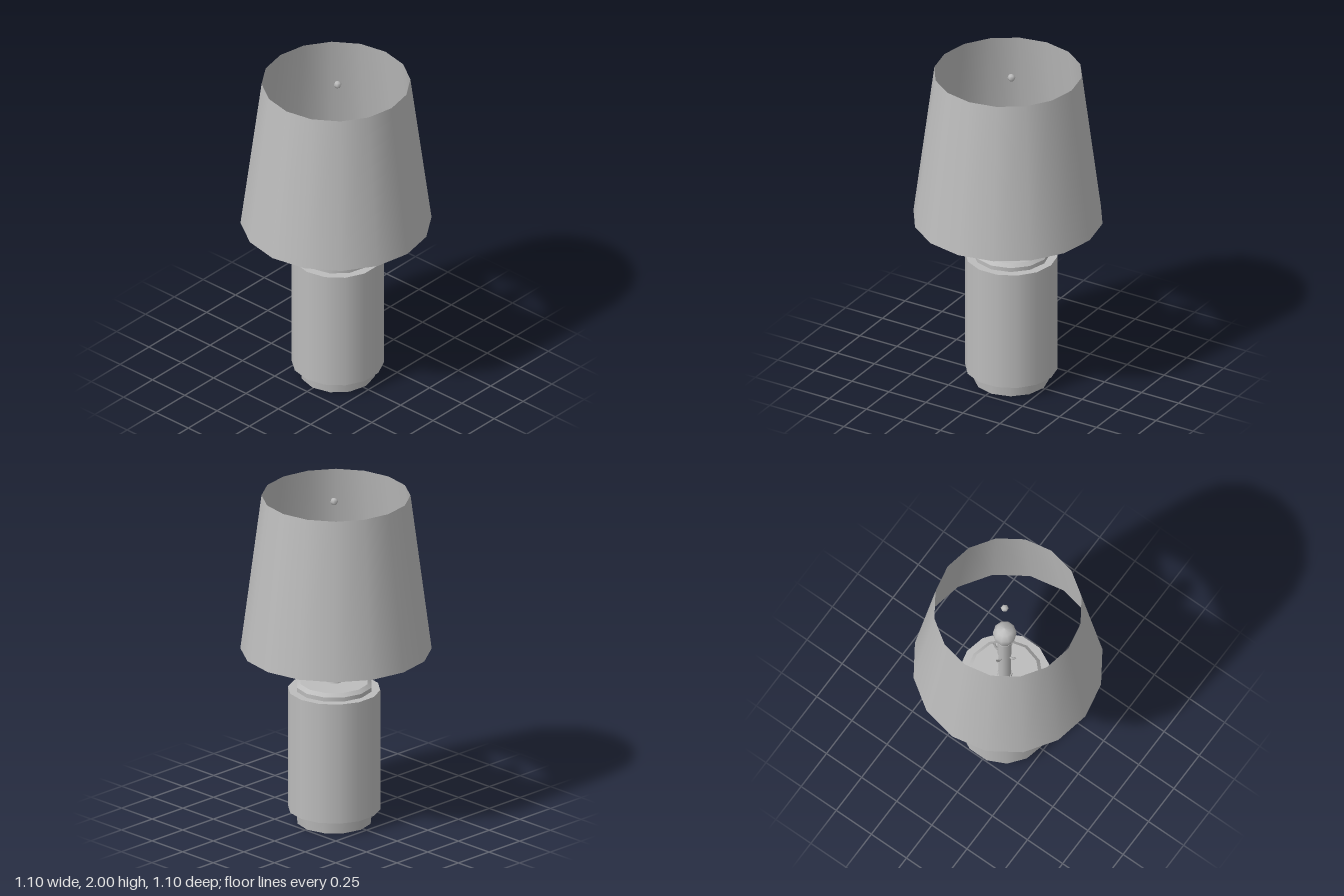
import * as THREE from 'three';

export function createModel() {
  const group = new THREE.Group();
  const grey = new THREE.MeshStandardMaterial({ color: 0xbcbcbc, side: THREE.DoubleSide });
  grey.name = 'plain grey';

  const add = (name, geometry, x, y, z) => {
    const mesh = new THREE.Mesh(geometry, grey);
    mesh.name = name;
    mesh.position.set(x, y, z);
    group.add(mesh);
    return mesh;
  };
  // upright cylinder between two heights, on the lamp's axis
  const AX = -0.005, AZ = -0.02;
  const column = (name, rTop, rBottom, y0, y1, sides, open = false, x = AX, z = AZ) =>
    add(name, new THREE.CylinderGeometry(rTop, rBottom, y1 - y0, sides, 1, open), x, (y0 + y1) / 2, z);

  // open tapered shade
  column('shade', 0.43, 0.552, 1.055, 2, 16, true, 0, 0);

  // base: foot, body and bevelled lid
  column('foot', 0.225, 0.218, 0, 0.066, 12);
  column('body', 0.268, 0.268, 0.08, 0.815, 14);
  column('lidRim', 0.222, 0.222, 0.815, 0.84, 12);
  column('lidBevel', 0.2, 0.222, 0.84, 0.86, 12);

  // stem and lamp holder
  column('stemCollar', 0.042, 0.045, 0.86, 0.872, 10);
  column('stem', 0.037, 0.037, 0.87, 1.2, 10);
  column('holder', 0.04, 0.04, 1.2, 1.42, 10);

  // four small upturned arms round the holder
  for (let i = 0; i < 4; i++) {
    const a = i * Math.PI / 2, c = Math.cos(a), s = Math.sin(a);
    const path = new THREE.CatmullRomCurve3([
      [0.03, 0], [0.06, 0.01], [0.075, 0.05],
    ].map(([r, y]) => new THREE.Vector3(r * c, y, r * s)));
    add('holderArm', new THREE.TubeGeometry(path, 4, 0.007, 5), AX, 1.2, AZ);
  }

  // bulb
  const bulb = [[0.038, 0], [0.05, 0.05], [0.068, 0.11], [0.066, 0.15], [0.045, 0.19], [0, 0.205]]
    .map(([r, y]) => new THREE.Vector2(r, y));
  add('bulb', new THREE.LatheGeometry(bulb, 10), AX, 1.42, AZ);

  // little finial at the top of the shade
  add('finial', new THREE.SphereGeometry(0.023, 6, 4), AX, 1.968, AZ);

  return group;
}
